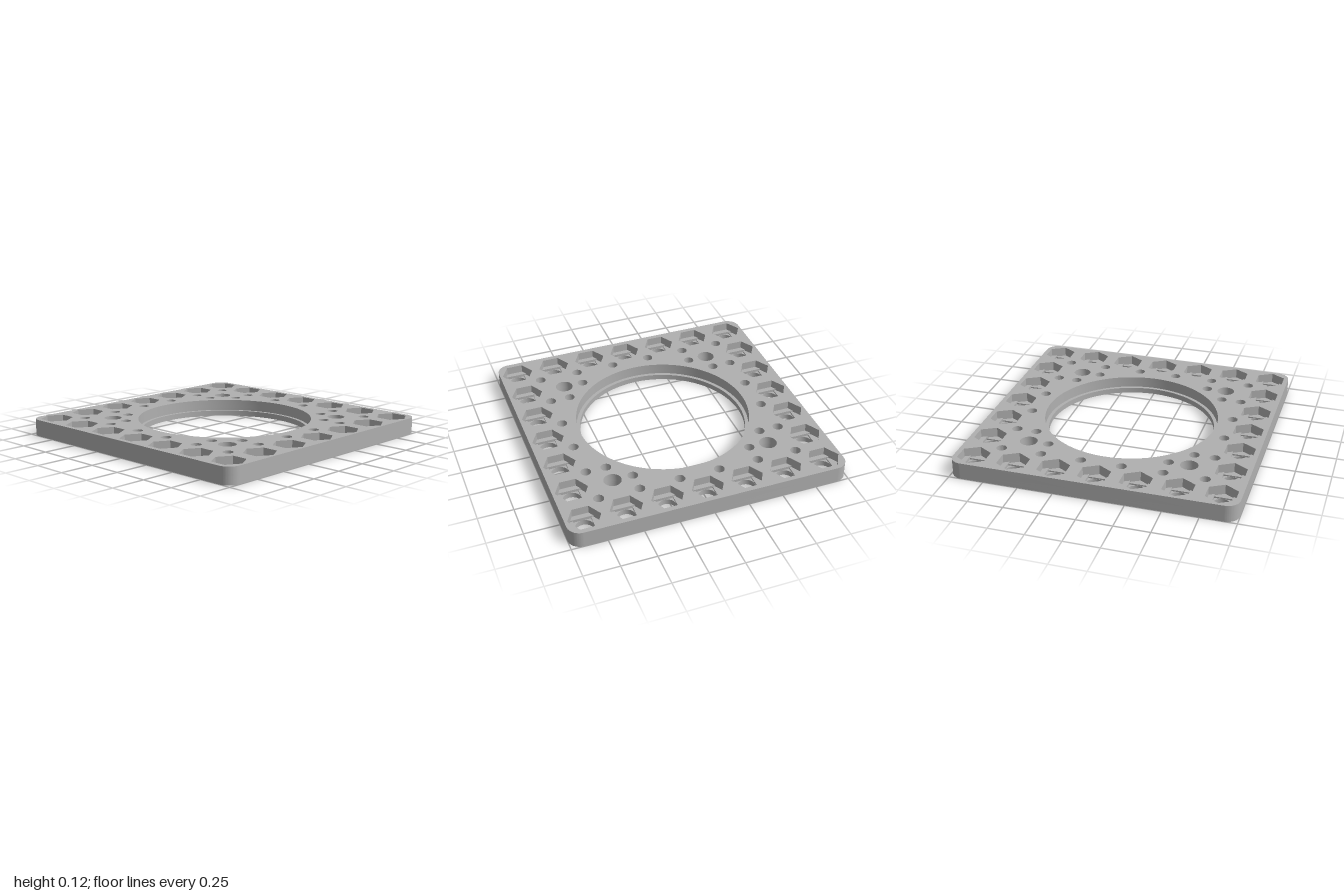
import * as THREE from 'three';
import { toCreasedNormals } from 'three/addons/utils/BufferGeometryUtils.js';

const PITCH = 0.2885;   // spacing of the mounting grid
const BOLT_R = 0.0625;  // bolt hole radius
const PIN_R = 0.037;    // small hole radius
const HEX_R = 0.1155;   // nut pocket, centre to corner

// Outlines around the origin, as point lists
const ngon = (n, r) => Array.from({ length: n }, (_, i) => {
  const a = (i / n) * Math.PI * 2;
  return [r * Math.cos(a), r * Math.sin(a)];
});
const round = ngon(32, BOLT_R);
const square = [[1, 1], [-1, 1], [-1, -1], [1, -1]].map(([x, y]) => [x * BOLT_R, y * BOLT_R]);
const e = HEX_R - BOLT_R / Math.sqrt(3);
const slot = [[HEX_R, 0], [e, BOLT_R], [-e, BOLT_R], [-HEX_R, 0], [-e, -BOLT_R], [e, -BOLT_R]];
const hex = ngon(6, HEX_R);

// Nut positions: the border of a 7 x 7 grid
const nuts = [];
for (let i = -3; i <= 3; i++) {
  for (let j = -3; j <= 3; j++) {
    if (Math.max(Math.abs(i), Math.abs(j)) === 3) nuts.push([i * PITCH, j * PITCH]);
  }
}

// Holes mirrored into all four quadrants, given in grid steps
const mirror4 = (list) => list.flatMap(([i, j]) =>
  [[1, 1], [-1, 1], [-1, -1], [1, -1]].map(([a, b]) => [a * i * PITCH, b * j * PITCH]));
const bolts = mirror4([[2, 2]]);
const pins = mirror4([[2.5, 2.5], [1.5, 2.5], [0.5, 2.5], [1.5, 2], [2.5, 1.5], [2, 1.5], [2.5, 0.5]]);

function plateShape() {
  const r = 0.09, c = 1 - r, s = new THREE.Shape();
  s.absarc(c, c, r, 0, Math.PI / 2);
  s.absarc(-c, c, r, Math.PI / 2, Math.PI);
  s.absarc(-c, -c, r, Math.PI, Math.PI * 1.5);
  s.absarc(c, -c, r, Math.PI * 1.5, Math.PI * 2);
  s.closePath();
  return s;
}

function plateLayer(name, y0, y1, boreRadius, nutOutline, material) {
  const shape = plateShape();
  const cut = (outline, x, y) => shape.holes.push(
    new THREE.Path(outline.map(([px, py]) => new THREE.Vector2(x + px, y + py))));
  cut(ngon(96, boreRadius), 0, 0);
  nuts.forEach(([x, y]) => cut(nutOutline, x, y));
  bolts.forEach(([x, y]) => cut(round, x, y));
  pins.forEach(([x, y]) => cut(ngon(24, PIN_R), x, y));
  const geo = new THREE.ExtrudeGeometry(shape, { depth: y1 - y0, bevelEnabled: false, curveSegments: 12 });
  geo.rotateX(-Math.PI / 2);
  geo.translate(0, y0, 0);
  const mesh = new THREE.Mesh(toCreasedNormals(geo, 0.6), material);
  mesh.name = name;
  return mesh;
}

export function createModel() {
  const grey = new THREE.MeshStandardMaterial({ color: 0xb0b0b0 });
  grey.name = 'grey plastic';
  const group = new THREE.Group();
  group.name = 'mountingPlate';
  group.add(
    // Base with the narrow lip of the centre bore
    plateLayer('baseWithLip', 0, 0.04, 0.605, round, grey),
    // Shallow stepped floors under the nuts
    plateLayer('squareStep', 0.04, 0.05, 0.63, square, grey),
    plateLayer('slotStep', 0.05, 0.06, 0.63, slot, grey),
    // Upper plate with hexagonal nut pockets
    plateLayer('nutPocketPlate', 0.06, 0.12, 0.63, hex, grey),
  );
  return group;
}
